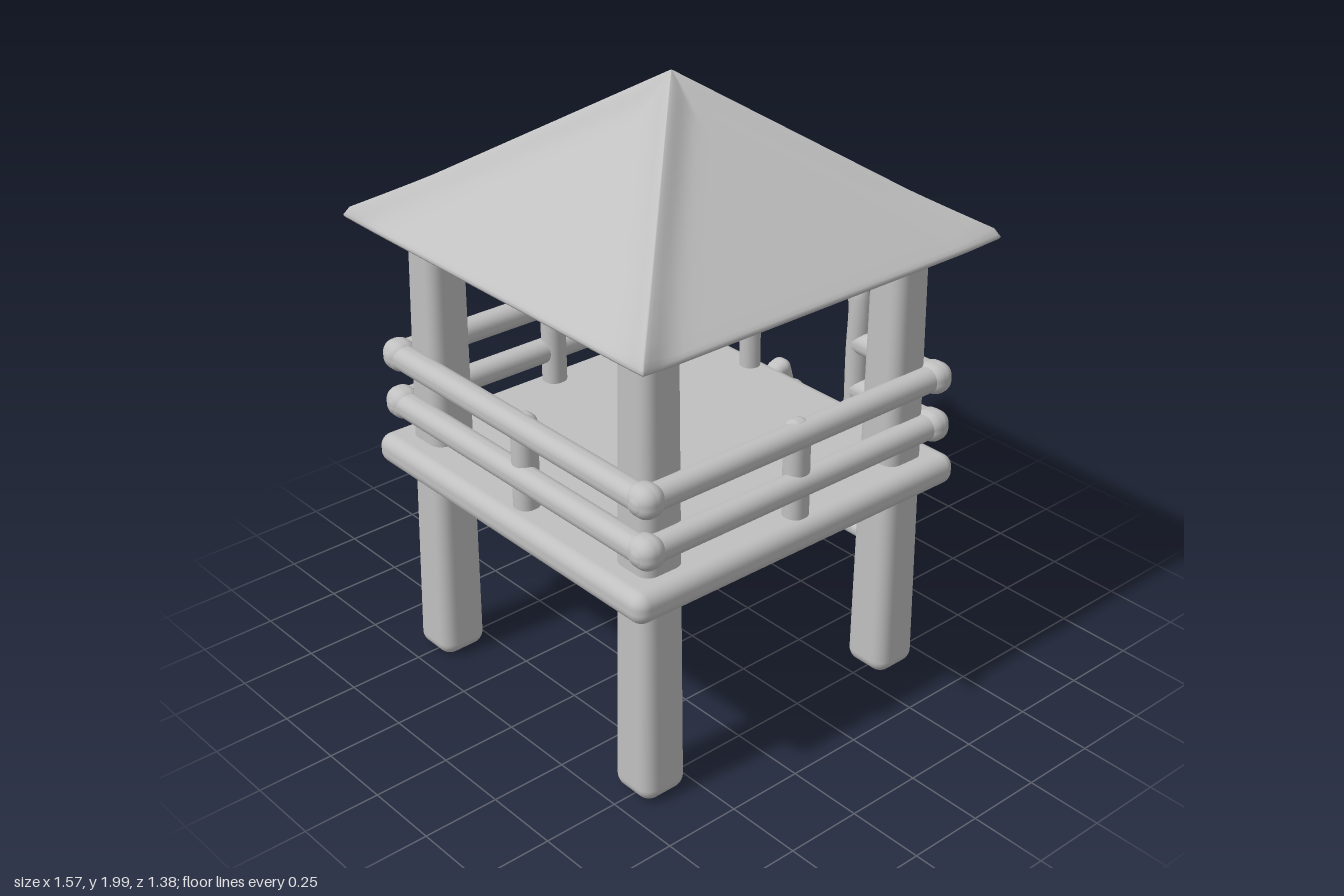
import * as THREE from 'three';
import { RoundedBoxGeometry } from 'three/addons/geometries/RoundedBoxGeometry.js';

const clay = new THREE.MeshStandardMaterial({ color: 0xc0c0c0 });
clay.name = 'plain grey';

function add(parent, geometry, name) {
  const mesh = new THREE.Mesh(geometry, clay);
  mesh.name = name;
  parent.add(mesh);
  return mesh;
}

// Soft-edged bar from a to b, w wide and h high
function bar(parent, name, a, b, w, h, radius = 0.45) {
  const start = new THREE.Vector3(...a), end = new THREE.Vector3(...b);
  const geometry = new RoundedBoxGeometry(w, h, start.distanceTo(end), 4, Math.min(w, h) * radius);
  const mesh = add(parent, geometry, name);
  mesh.position.copy(start).add(end).multiplyScalar(0.5);
  mesh.lookAt(end);
  return mesh;
}

// Corner post, thicker at the foot and leaning slightly between foot and head
function post(parent, footX, headX, side) {
  const h = 1.54;
  const geometry = new RoundedBoxGeometry(1, h, 1, 4, 0.04);
  geometry.dispose();
  const g = new RoundedBoxGeometry(0.165, h, 0.165, 4, 0.045);
  const p = g.attributes.position;
  for (let i = 0; i < p.count; i++) {
    const t = p.getY(i) / h + 0.5;
    const s = 1 - 0.16 * t;
    p.setXYZ(i, p.getX(i) * s + footX + (headX - footX) * t, t * h + 0.01, p.getZ(i) * s + side * (0.5 - 0.01 * t));
  }
  add(parent, g, 'cornerPost');
}

// Hipped roof: square rings from the peak to the eaves, then the flat underside
function roofGeometry() {
  const perSide = 24, count = perSide * 4;
  const levels = [];
  for (let i = 0; i <= 20; i++) levels.push([0.003 + 0.652 * i / 20, null]);
  levels.push([0.664, 1.503], [0.668, 1.495], [0.664, 1.487], [0.652, 1.482], [0.6, 1.482], [0.58, 1.492], [0.003, 1.492]);
  const corners = [[-1, 1], [1, 1], [1, -1], [-1, -1]];
  const points = [], index = [];
  levels.forEach(([half, height], level) => {
    for (let k = 0; k < count; k++) {
      const side = Math.floor(k / perSide);
      const t = (1 - Math.cos(Math.PI * (k % perSide) / perSide)) / 2;
      const [ax, az] = corners[side], [bx, bz] = corners[(side + 1) % 4];
      const d = 2 * half * Math.min(t, 1 - t);
      const ridge = Math.exp(-((d / 0.06) ** 2));
      const flare = half > 0.5 ? 1 + 0.035 * ridge * (half - 0.5) / 0.168 : 1;
      const x = (ax + (bx - ax) * t) * half * flare - 0.09 + 0.01 * (1 - half / 0.668);
      const z = (az + (bz - az) * t) * half * flare;
      const y = height === null ? 1.97 - 0.7 * half + 0.03 * ridge
        : height + (level < 25 ? 0.02 * ridge : 0);
      points.push(x, y - 0.014 * (x + 0.09), z);
    }
  });
  for (let r = 0; r < levels.length - 1; r++) {
    for (let k = 0; k < count; k++) {
      const a = r * count + k, b = r * count + (k + 1) % count;
      index.push(a, a + count, b, b, a + count, b + count);
    }
  }
  // Close the peak and the ceiling
  const last = (levels.length - 1) * count;
  for (let k = 1; k < count - 1; k++) {
    index.push(0, k, k + 1, last, last + k + 1, last + k);
  }
  const g = new THREE.BufferGeometry();
  g.setAttribute('position', new THREE.Float32BufferAttribute(points, 3));
  g.setIndex(index);
  g.computeVertexNormals();
  return g;
}

export function createModel() {
  const model = new THREE.Group();
  model.name = 'lookoutHut';

  add(model, roofGeometry(), 'roof');

  for (const side of [1, -1]) {
    post(model, -0.61, -0.59, side);
    post(model, 0.37, 0.39, side);
  }

  // Raised floor, very slightly tilted
  const deck = add(model, new RoundedBoxGeometry(1.29, 0.1, 1.28, 4, 0.042), 'deck');
  deck.position.set(-0.115, 0.732, 0);
  deck.rotation.z = -0.017;

  // Railings: two rails on every side, open in the middle of the ladder side
  const railings = new THREE.Group();
  railings.name = 'railings';
  model.add(railings);
  for (const [yl, yr] of [[0.9, 0.88], [1.065, 1.045]]) {
    for (const side of [1, -1]) {
      bar(railings, 'longRail', [-0.735, yl, side * 0.585], [0.515, yr, side * 0.585], 0.08, 0.08);
      bar(railings, 'gateSideRail', [0.47, yr, side * 0.63], [0.47, yr, side * 0.23], 0.08, 0.075);
      for (const [x, y] of [[-0.685, yl], [0.465, yr]]) {
        bar(railings, 'railKnob', [x, y, side * 0.53], [x, y, side * 0.635], 0.095, 0.1);
      }
    }
    bar(railings, 'leftRail', [-0.69, yl, -0.63], [-0.69, yl, 0.63], 0.08, 0.08);
  }
  for (const [x, z] of [[-0.1, 0.57], [-0.1, -0.57], [-0.67, 0.02]]) {
    bar(railings, 'baluster', [x, 0.75, z], [x, 1.1, z], 0.08, 0.075);
  }

  // Arched gate frame over the ladder
  const frame = [[0.75, 0.245], [1.0, 0.245], [1.17, 0.25], [1.215, 0.24], [1.235, 0.2], [1.235, 0.08]];
  const path = [
    ...frame.map(([y, z]) => new THREE.Vector3(0.465, y, z + 0.01)),
    ...frame.slice().reverse().map(([y, z]) => new THREE.Vector3(0.465, y, 0.01 - z)),
  ];
  add(model, new THREE.TubeGeometry(new THREE.CatmullRomCurve3(path), 80, 0.036, 12), 'gateArch');

  // Leaning ladder
  const ladder = new THREE.Group();
  ladder.name = 'ladder';
  model.add(ladder);
  for (const z of [0.18, -0.17]) {
    bar(ladder, 'ladderSide', [0.53, 0.785, z], [0.75, 0.012, z], 0.07, 0.075, 0.4);
    for (let i = 0; i < 4; i++) {
      const y = 0.15 + i * 0.165;
      bar(ladder, 'rungEnd', [0.745 - i * 0.047, y + 0.005, z - 0.036], [0.745 - i * 0.047, y + 0.005, z + 0.036], 0.08, 0.075);
    }
  }
  for (let i = 0; i < 4; i++) {
    const x = 0.735 - i * 0.047, y = 0.15 + i * 0.165;
    bar(ladder, 'rung', [x, y, -0.18], [x, y, 0.19], 0.07, 0.055);
  }
  return model;
}
